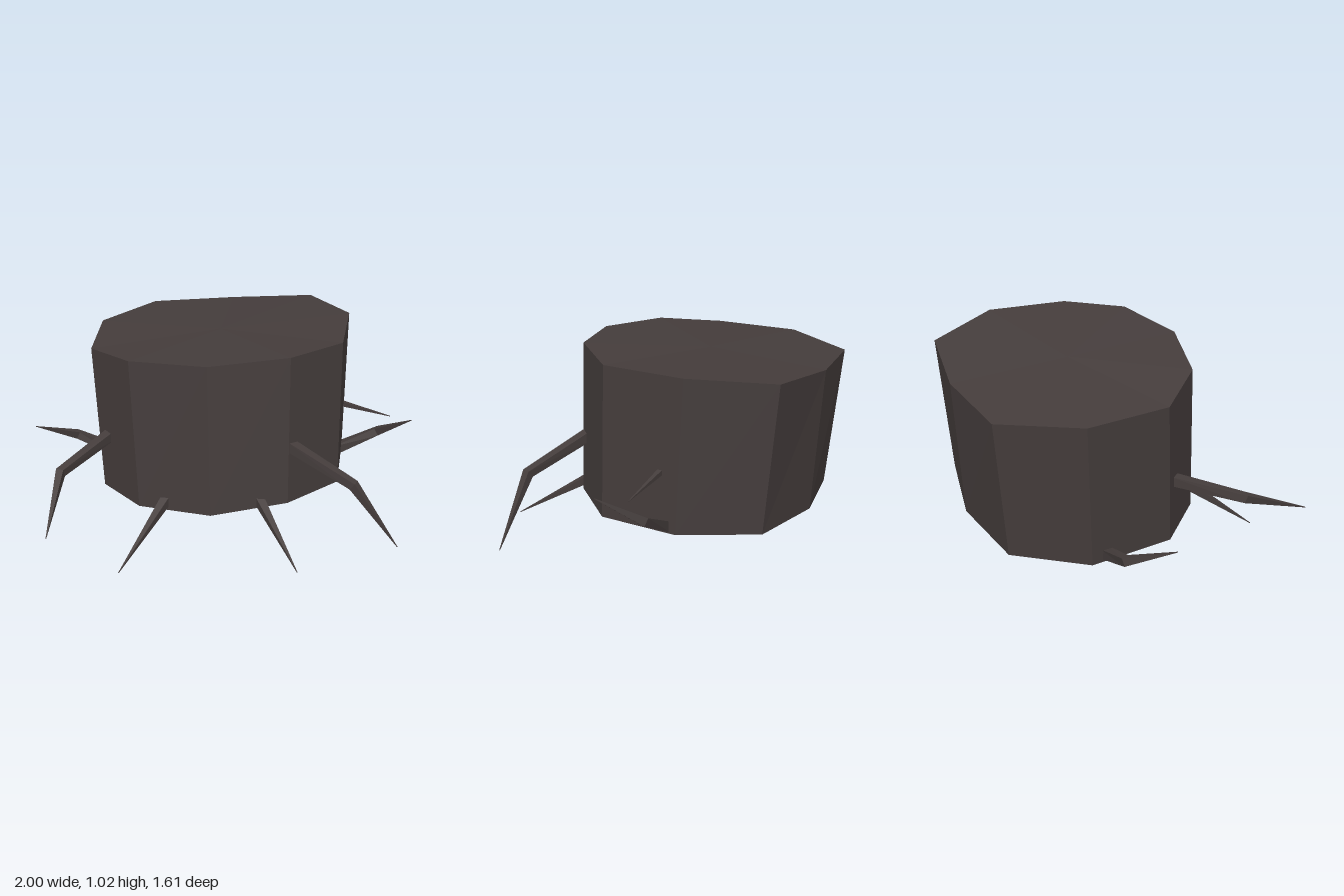
import * as THREE from 'three';

// Skins a list of rings (counter-clockwise about the direction of travel) and caps both ends.
function skin(rings) {
  const pos = [];
  const tri = (...pts) => pts.forEach((p) => pos.push(p.x, p.y, p.z));
  const n = rings[0].length;
  const centre = (ring) =>
    ring.reduce((s, p) => s.add(p), new THREE.Vector3()).divideScalar(n);
  const first = rings[0];
  const last = rings[rings.length - 1];
  const c0 = centre(first);
  const c1 = centre(last);
  for (let i = 0; i < n; i++) {
    const j = (i + 1) % n;
    for (let k = 0; k < rings.length - 1; k++) {
      const a = rings[k];
      const b = rings[k + 1];
      tri(a[i], a[j], b[j]);
      tri(a[i], b[j], b[i]);
    }
    tri(c0, first[j], first[i]);
    tri(c1, last[i], last[j]);
  }
  const geo = new THREE.BufferGeometry();
  geo.setAttribute('position', new THREE.Float32BufferAttribute(pos, 3));
  geo.computeVertexNormals();
  return geo;
}

// Four-sided tapering twig along a path; the start is pushed back into the trunk.
function twig(points, radii) {
  const path = points.map((p) => new THREE.Vector3(...p));
  const dir = path[1].clone().sub(path[0]).normalize();
  path[0].addScaledVector(dir, -0.04);
  const up = new THREE.Vector3(0, 1, 0);
  const rings = path.map((p, i) => {
    const prev = path[Math.max(i - 1, 0)];
    const next = path[Math.min(i + 1, path.length - 1)];
    const t = next.clone().sub(prev).normalize();
    const u = t.clone().cross(up).normalize();
    const v = t.clone().cross(u);
    return [0, 1, 2, 3].map((k) => {
      const a = Math.PI / 4 + (k * Math.PI) / 2;
      return p.clone()
        .addScaledVector(u, Math.cos(a) * radii[i])
        .addScaledVector(v, Math.sin(a) * radii[i]);
    });
  });
  return skin(rings);
}

export function createModel() {
  const model = new THREE.Group();
  model.name = 'stump';
  const bark = new THREE.MeshStandardMaterial({ color: 0x453d3c });
  bark.name = 'dark bark';

  const add = (name, geo) => {
    const mesh = new THREE.Mesh(geo, bark);
    mesh.name = name;
    model.add(mesh);
  };

  // Leaning ten-sided trunk, from the front corner round by the left
  const toRing = (pts) => pts.map((p) => new THREE.Vector3(...p));
  const bottom = toRing([
    [0.04, 0.21, 0.41], [0.41, 0.25, 0.29], [0.64, 0.25, 0.03],
    [0.64, 0.25, -0.37], [0.42, 0.24, -0.71], [-0.01, 0.21, -0.77],
    [-0.43, 0.18, -0.68], [-0.63, 0.155, -0.33], [-0.58, 0.165, 0.1],
    [-0.34, 0.185, 0.33],
  ]);
  const top = toRing([
    [0.02, 0.995, 0.385], [0.4, 1.02, 0.27], [0.63, 1.01, 0.01],
    [0.64, 1.015, -0.41], [0.41, 0.98, -0.77], [-0.03, 0.93, -0.81],
    [-0.47, 0.905, -0.74], [-0.68, 0.91, -0.37], [-0.63, 0.915, 0.05],
    [-0.38, 0.96, 0.29],
  ]);
  add('trunk', skin([bottom, top]));

  // Bent branches: base, elbow, tip
  const bent = {
    rightFrontBranch: [[-0.54, 0.47, 0.14], [-0.71, 0.4, 0.43], [-0.68, 0.245, 0.8]],
    rightBranch: [[-0.63, 0.2, -0.25], [-0.82, 0.275, -0.24], [-1, 0.39, -0.07]],
    leftFrontBranch: [[0.43, 0.545, 0.26], [0.73, 0.435, 0.39], [0.96, 0.12, 0.405]],
    leftBranch: [[0.64, 0.285, -0.31], [0.83, 0.39, -0.315], [1, 0.535, -0.17]],
  };
  for (const [name, pts] of Object.entries(bent)) {
    add(name, twig(pts, [0.036, 0.029, 0.002]));
  }

  // Straight spikes: base, tip
  const spikes = {
    rightFrontSpike: [[-0.21, 0.225, 0.37], [-0.37, 0.005, 0.675]],
    leftFrontSpike: [[0.28, 0.26, 0.33], [0.495, 0.075, 0.635]],
    leftSpike: [[0.63, 0.55, -0.29], [0.89, 0.5, -0.275]],
  };
  for (const [name, pts] of Object.entries(spikes)) {
    add(name, twig(pts, [name === 'leftSpike' ? 0.02 : 0.032, 0.002]));
  }

  return model;
}
